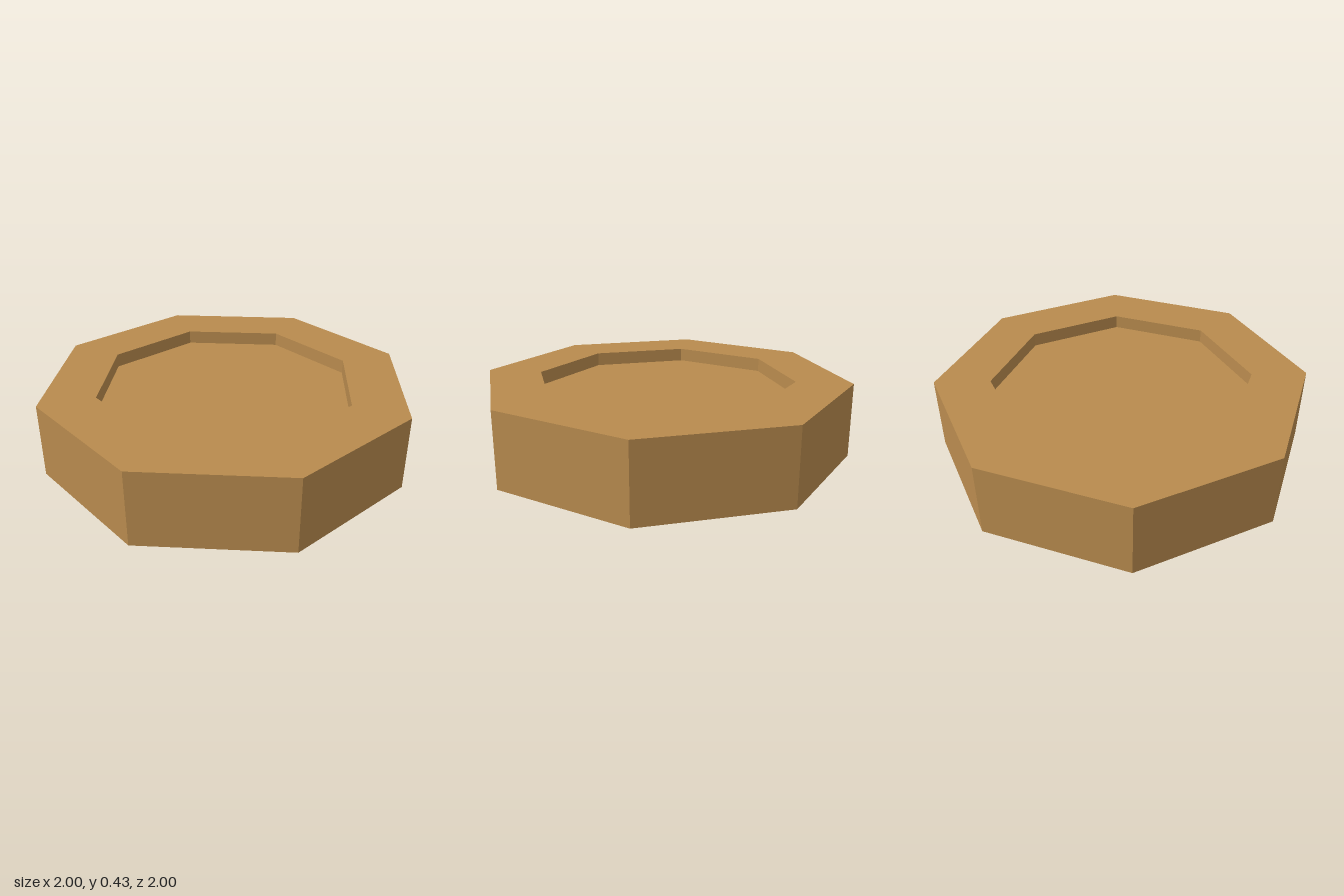
import * as THREE from 'three';

const SIDES = 8;
const OUTER = 1.0645, INNER = 0.746;
const HEIGHT = 0.427, RECESS = 0.08;

export function createModel() {
  const model = new THREE.Group();
  model.name = 'octagonalDisc';

  const wood = new THREE.MeshStandardMaterial({ color: 0xb98b4e, flatShading: true });
  wood.name = 'tan wood';

  // Half section from the bottom centre round to the top centre
  const profile = [
    [0, RECESS], [INNER, RECESS], [INNER, 0], [OUTER, 0],
    [OUTER, HEIGHT], [INNER, HEIGHT], [INNER, HEIGHT - RECESS], [0, HEIGHT - RECESS],
  ].map(([r, y]) => new THREE.Vector2(r, y));

  // Thick octagonal rim with a shallow recess on both faces, turned slightly
  const geometry = new THREE.LatheGeometry(profile, SIDES, THREE.MathUtils.degToRad(20.05));
  const disc = new THREE.Mesh(geometry, wood);
  disc.name = 'recessedDisc';
  model.add(disc);

  return model;
}
